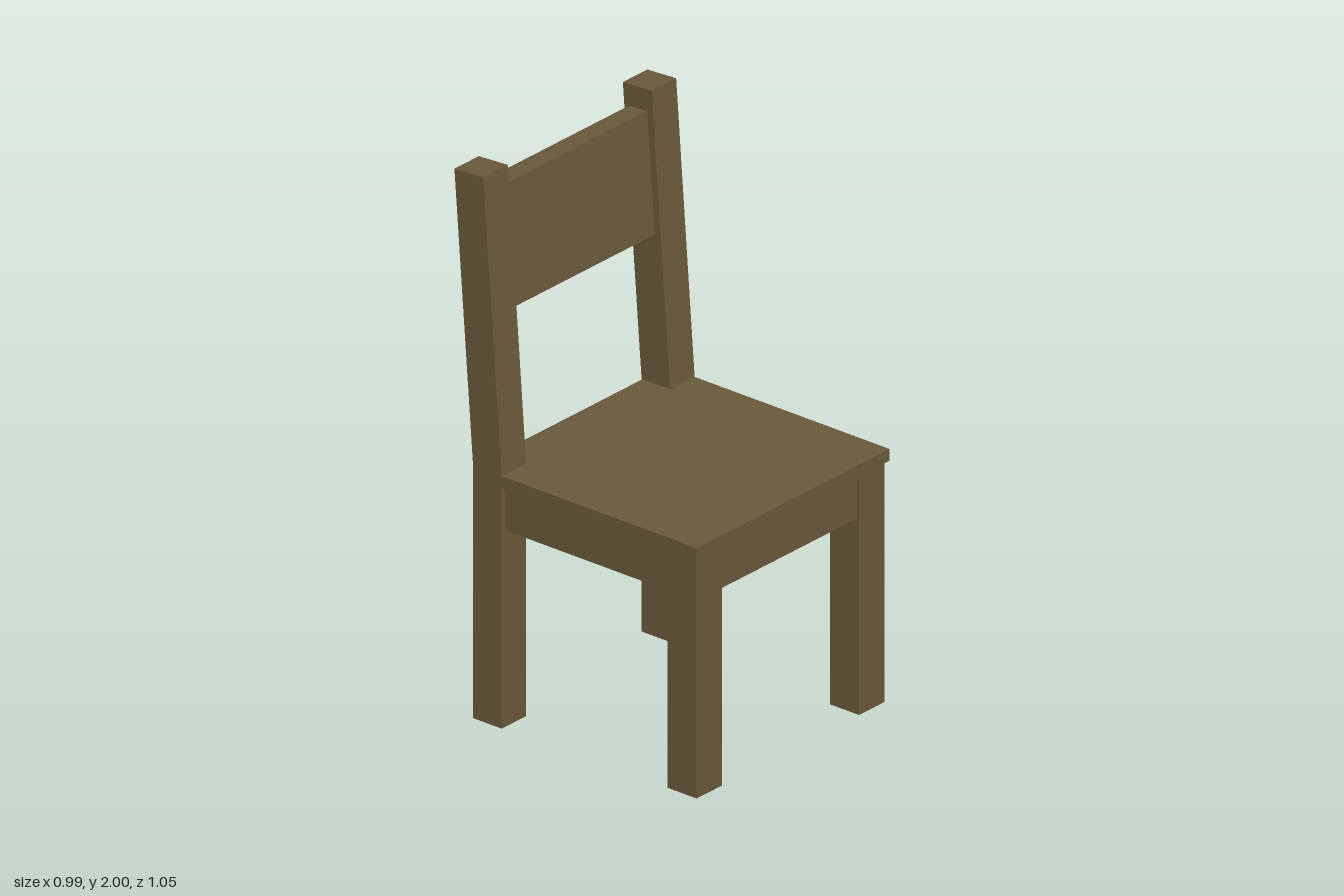
import * as THREE from 'three';

const wood = new THREE.MeshStandardMaterial({ color: 0x6b5a3b, side: THREE.DoubleSide });

// Box given by its minimum and maximum corners
function boxBetween(x0, x1, y0, y1, z0, z1) {
  return new THREE.BoxGeometry(x1 - x0, y1 - y0, z1 - z0)
    .translate((x0 + x1) / 2, (y0 + y1) / 2, (z0 + z1) / 2);
}

// Removes the faces lying on the floor, leaving the leg open underneath
function openBottom(geometry) {
  const g = geometry.index ? geometry.toNonIndexed() : geometry;
  const p = g.attributes.position;
  const kept = [];
  for (let i = 0; i < p.count; i += 3) {
    const top = Math.max(p.getY(i), p.getY(i + 1), p.getY(i + 2));
    if (top > 0.001) kept.push(i, i + 1, i + 2);
  }
  g.clearGroups();
  g.setIndex(kept);
  return g;
}

function polygon(points) {
  return new THREE.Shape(points.map(([x, y]) => new THREE.Vector2(x, y)));
}

export function createModel() {
  const chair = new THREE.Group();
  chair.name = 'chair';
  const add = (name, geometry) => {
    const mesh = new THREE.Mesh(geometry, wood);
    mesh.name = name;
    chair.add(mesh);
    return mesh;
  };

  // Seat board, notched around the back posts
  const seatOutline = polygon([
    [-0.493, 0.525], [-0.493, -0.32], [-0.368, -0.32], [-0.368, -0.44],
    [0.368, -0.44], [0.368, -0.32], [0.493, -0.32], [0.493, 0.525],
  ]);
  add('seat', new THREE.ExtrudeGeometry(seatOutline, { depth: 0.043, bevelEnabled: false })
    .rotateX(Math.PI / 2).translate(0, 0.928, 0));

  // Side profile of a back post: upright leg, then leaning backrest (z, y)
  const postOutline = polygon([
    [-0.32, 0], [-0.32, 0.928], [-0.4, 2], [-0.525, 1.993], [-0.445, 0.94], [-0.445, 0],
  ]);

  for (const [side, s] of [['left', 1], ['right', -1]]) {
    const post = new THREE.ExtrudeGeometry(postOutline, { depth: 0.125, bevelEnabled: false })
      .rotateY(-Math.PI / 2).translate(s > 0 ? 0.493 : -0.368, 0, 0);
    add(side + 'BackPost', openBottom(post));

    const leg = boxBetween(-0.065, 0.065, 0, 0.885, 0.387, 0.514).translate(s * 0.415, 0, 0);
    add(side + 'FrontLeg', openBottom(leg));

    const apron = boxBetween(-0.015, 0.015, 0.72, 0.885, -0.32, 0.387).translate(s * 0.457, 0, 0);
    add(side + 'Apron', apron);
  }

  // Aprons under the seat at front and back
  add('frontApron', boxBetween(-0.35, 0.35, 0.72, 0.885, 0.476, 0.506));
  add('backApron', boxBetween(-0.368, 0.368, 0.72, 0.885, -0.43, -0.4));

  // Leaning back panel between the posts
  const panel = add('backPanel', new THREE.BoxGeometry(0.736, 0.445, 0.08));
  panel.position.set(0, 1.695, -0.443);
  panel.rotation.x = -0.0745;

  return chair;
}
